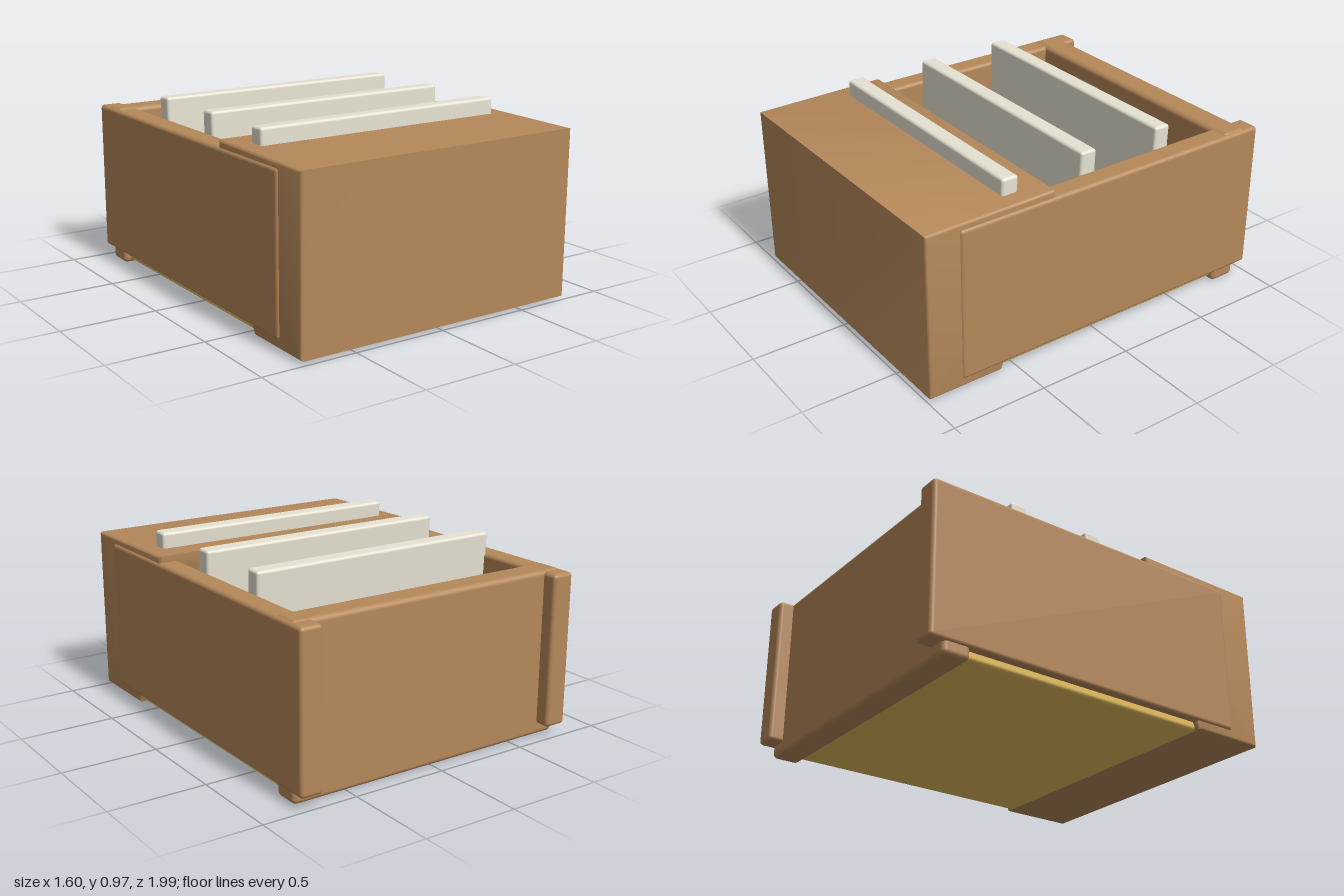
import * as THREE from 'three';
import { RoundedBoxGeometry } from 'three/addons/geometries/RoundedBoxGeometry.js';
import { toCreasedNormals } from 'three/addons/utils/BufferGeometryUtils.js';

const wood = new THREE.MeshStandardMaterial({ color: 0xb5885a });
const yellow = new THREE.MeshStandardMaterial({ color: 0xe6c060 });
const ivory = new THREE.MeshStandardMaterial({ color: 0xe6e2d2 });

// Rounded board given by its minimum and maximum corners
function board(name, material, min, max, radius) {
  const size = max.map((v, i) => v - min[i]);
  const mesh = new THREE.Mesh(new RoundedBoxGeometry(...size, 3, radius), material);
  mesh.position.set(...max.map((v, i) => (v + min[i]) / 2));
  mesh.name = name;
  return mesh;
}

// Front block: side profile (z, y) extruded across the width, with a sloping back
function frontBlock() {
  const bevel = 0.015;
  const width = 1.58;
  const profile = new THREE.Shape([
    [0.975, 0.032], [0.978, 0.866], [0.305, 0.874], [0.305, 0.835], [0.6, 0.032],
  ].map(([z, y]) => new THREE.Vector2(z, y)));
  const geometry = new THREE.ExtrudeGeometry(profile, {
    depth: width - 2 * bevel, bevelEnabled: true,
    bevelSize: bevel, bevelThickness: bevel, bevelSegments: 3,
  });
  geometry.translate(0, 0, -width / 2 + bevel);
  geometry.rotateY(-Math.PI / 2);
  // The turn maps profile x to +z
  const mesh = new THREE.Mesh(toCreasedNormals(geometry, 0.7), wood);
  mesh.name = 'frontBlock';
  return mesh;
}

export function createModel() {
  const group = new THREE.Group();
  group.name = 'dividedBox';

  // Box: front, back, floor and two sides
  group.add(frontBlock());
  group.add(board('backPanel', wood, [-0.79, 0, -0.925], [0.79, 0.862, -0.78], 0.025));
  group.add(board('floor', yellow, [-0.76, 0.018, -0.88], [0.76, 0.1, 0.64], 0.02));
  for (const [name, x] of [['rightSide', -0.74], ['leftSide', 0.74]]) {
    group.add(board(name, wood, [x - 0.06, 0.06, -1], [x + 0.06, 0.855, 0.815], 0.02));
  }

  // Upright dividers, leaning slightly back
  [-0.44, 0.02, 0.475].forEach((z, i) => {
    const divider = board(`divider${i + 1}`, ivory, [-0.695, 0.09, z - 0.045], [0.695, 0.97, z + 0.045], 0.015);
    divider.rotation.x = -0.035;
    divider.position.z += 0.012;
    group.add(divider);
  });
  return group;
}
